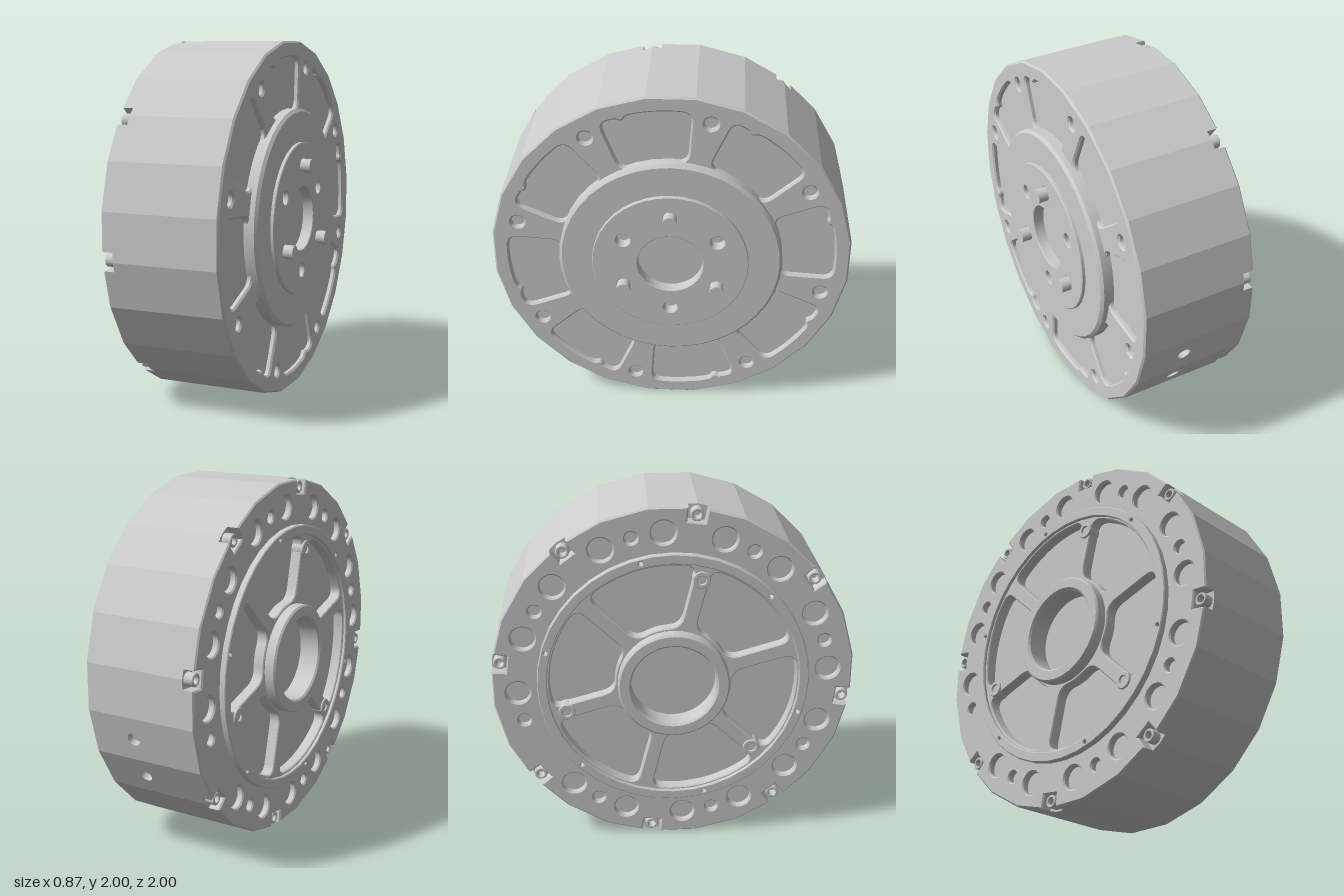
import * as THREE from 'three';
import { toCreasedNormals } from 'three/addons/utils/BufferGeometryUtils.js';

const rad = THREE.MathUtils.degToRad;
const SIDES = 24, STEP = 360 / SIDES;
const R = 1 / Math.cos(rad(STEP / 2)); // flats of the case lie at radius 1
const mat = new THREE.MeshStandardMaterial({ color: 0xcccccc });
const matDouble = new THREE.MeshStandardMaterial({ color: 0xcccccc, side: THREE.DoubleSide });

const polar = (r, deg) => new THREE.Vector2(r * Math.cos(rad(deg)), r * Math.sin(rad(deg)));
const around = (n, start, fn) => Array.from({ length: n }, (_, i) => fn(start + i * 360 / n, i));

function circle(r, c = new THREE.Vector2(), Type = THREE.Path) {
  return new Type().absarc(c.x, c.y, r, 0, Math.PI * 2, false);
}

function disc(r, holes = []) {
  const s = circle(r, undefined, THREE.Shape);
  s.holes.push(...holes);
  return s;
}

// Closed polygon with its corners rounded
function roundedPath(pts, radius) {
  const path = new THREE.Path(), n = pts.length;
  const toward = (p, q) => p.clone().lerp(q, Math.min(0.48, radius / p.distanceTo(q)));
  pts.forEach((p, i) => {
    const a = toward(p, pts[(i + n - 1) % n]), b = toward(p, pts[(i + 1) % n]);
    if (i) path.lineTo(a.x, a.y); else path.moveTo(a.x, a.y);
    path.quadraticCurveTo(p.x, p.y, b.x, b.y);
  });
  path.closePath();
  return path;
}

// Rounded sector between two radii, with its own half angle at each radius
function sector(mid, r0, r1, half0, half1, radius, bump = false) {
  const pts = [half0, 0, -half0].map(d => polar(r0, mid + d));
  if (bump) {
    for (const [d, r] of [[-half1, r1], [-7, r1], [0, r1], [4.5, r1], [6.5, r1 - 0.005],
      [7.5, r1 - 0.022], [9, r1 - 0.022], [10, r1 - 0.004], [half1, r1]]) pts.push(polar(r, mid + d));
  } else {
    for (let i = 0; i <= 4; i++) pts.push(polar(r1, mid - half1 + i * half1 / 2));
  }
  return roundedPath(pts, radius);
}

// Many-sided outline of the case, optionally with a notch at every third corner
function caseOutline(notched) {
  const pts = [];
  for (let i = 0; i < SIDES; i++) {
    const a = STEP / 2 + i * STEP, d = 3;
    if (notched && i % 3 === 0) {
      const edge = 1 / Math.cos(rad(STEP / 2 - d));
      pts.push(polar(edge, a - d), polar(0.925, a - d), polar(0.925, a + d), polar(edge, a + d));
    } else pts.push(polar(R, a));
  }
  return new THREE.Shape(pts);
}

export function createModel() {
  const model = new THREE.Group();
  const motor = new THREE.Group(); // built along z, then turned to lie along x
  motor.name = 'motor';
  motor.rotation.y = Math.PI / 2;
  motor.position.y = 1;
  model.add(motor);

  function add(name, geo, material = mat, parent = motor) {
    const m = new THREE.Mesh(geo, material);
    m.name = name;
    parent.add(m);
    return m;
  }
  // Plate from z0 to z1 with chamfered edges
  function slab(name, shape, z0, z1, b = 0.01) {
    const g = new THREE.ExtrudeGeometry(shape, {
      depth: z1 - z0 - 2 * b, bevelThickness: b, bevelSize: b,
      bevelOffset: -b, bevelSegments: 1, curveSegments: 20,
    });
    g.translate(0, 0, z0 + b);
    return add(name, toCreasedNormals(g, 0.2));
  }

  // Case wall: flat panels, two of them with a cable hole
  const w = R * Math.sin(rad(STEP / 2)), zBack = -0.29, zFront = 0.295, holeZ = 0.04;
  for (let i = 0; i < SIDES; i++) {
    const a = i * STEP, p = polar(1, a);
    const s = new THREE.Shape([[-w, zBack], [w, zBack], [w, zFront], [-w, zFront]]
      .map(([x, y]) => new THREE.Vector2(x, y)));
    const panel = new THREE.Group();
    panel.name = 'casePanel';
    const n = new THREE.Vector3(p.x, p.y, 0), t = new THREE.Vector3(-p.y, p.x, 0);
    panel.quaternion.setFromRotationMatrix(
      new THREE.Matrix4().makeBasis(t, new THREE.Vector3(0, 0, 1), n));
    panel.position.copy(n);
    motor.add(panel);
    if (a === 330 || a === 345) {
      s.holes.push(circle(0.038, new THREE.Vector2(0, holeZ)));
      const bore = new THREE.CylinderGeometry(0.038, 0.038, 0.04, 24, 1, true);
      add('cableHoleBore', bore.rotateX(Math.PI / 2).translate(0, holeZ, -0.02), matDouble, panel);
      add('cableHoleFloor', new THREE.CircleGeometry(0.038, 24).translate(0, holeZ, -0.04), mat, panel);
    }
    add('casePanelFace', new THREE.ShapeGeometry(s), mat, panel);
  }

  // Output face: plate with eight shallow pockets and eight screw holes
  add('pocketFloor', new THREE.CircleGeometry(0.985, 48).translate(0, 0, 0.28));
  const face = caseOutline(false);
  around(8, 98.5, a => face.holes.push(sector(a, 0.625, 0.918, 17, 15.5, 0.06, true)));
  around(8, 76, a => face.holes.push(circle(0.036, polar(0.877, a))));
  slab('outputFace', face, 0.24, 0.31, 0.01);

  // Output hub: collar, flange with holes, and three drive pins
  slab('hubCollar', disc(0.625, [circle(0.4)]), 0.25, 0.355, 0.016);
  const flangeHoles = around(6, 90, a => circle(0.04, polar(0.302, a)));
  slab('hubFlange', disc(0.437, [circle(0.183), ...flangeHoles]), 0.29, 0.375, 0.004);
  add('hubFloor', new THREE.CircleGeometry(0.42, 40).translate(0, 0, 0.31));
  around(3, 90, a => {
    const p = polar(0.302, a);
    add('drivePin', toCreasedNormals(new THREE.CylinderGeometry(0.04, 0.04, 0.14, 24)
      .rotateX(Math.PI / 2).translate(p.x, p.y, 0.36), 0.5));
  });

  // Rear rim: notched plate with large and small blind holes
  const rim = caseOutline(true);
  rim.holes.push(circle(0.74));
  around(8, 75, (a, i) => {
    const blindHole = (r, deg) => {
      const p = polar(0.865, deg);
      rim.holes.push(circle(r, p));
      add('rimHoleFloor', new THREE.CircleGeometry(r + 0.002, 32)
        .rotateY(Math.PI).translate(p.x, p.y, -0.318));
    };
    blindHole(0.034, a);
    if (i !== 6) blindHole(0.066, a - 11.5); // one hole is left out
    blindHole(0.066, a + 11.5);
  });
  slab('rearRim', rim, -0.355, -0.27, 0.008);
  add('rimFloor', new THREE.RingGeometry(0.72, R, SIDES, 1, rad(STEP / 2))
    .rotateY(Math.PI).translate(0, 0, zBack));

  // Small clamps sitting in the rim notches
  around(8, 97.5, a => {
    const p = polar(0.962, a);
    const clamp = slab('rimClamp', disc(0.036, [circle(0.02)]), -0.343, -0.285, 0.004);
    clamp.position.set(p.x, p.y, 0);
  });

  // Rear cover: raised ring, six spokes and bearing hub
  const dots = around(6, 16, a => circle(0.01, polar(0.728, a)));
  slab('coverRing', disc(0.755, [circle(0.7), ...dots]), -0.39, -0.24, 0.005);
  const windows = around(6, 74, a => sector(a, 0.33, 0.69, 23, 26.5, 0.07));
  slab('coverSpokes', disc(0.71, [circle(0.27), ...windows]), -0.372, -0.23, 0.006);
  slab('bearingHub', disc(0.31, [circle(0.238)]), -0.435, -0.23, 0.01);
  add('coverFloor', new THREE.CircleGeometry(0.73, 48).rotateY(Math.PI).translate(0, 0, -0.31));

  // Screw bosses on every second spoke
  around(3, 104, a => {
    const p = polar(0.62, a);
    const boss = slab('screwBoss', disc(0.048, [circle(0.024)]), -0.382, -0.25, 0.004);
    boss.position.set(p.x, p.y, 0);
  });

  return model;
}
